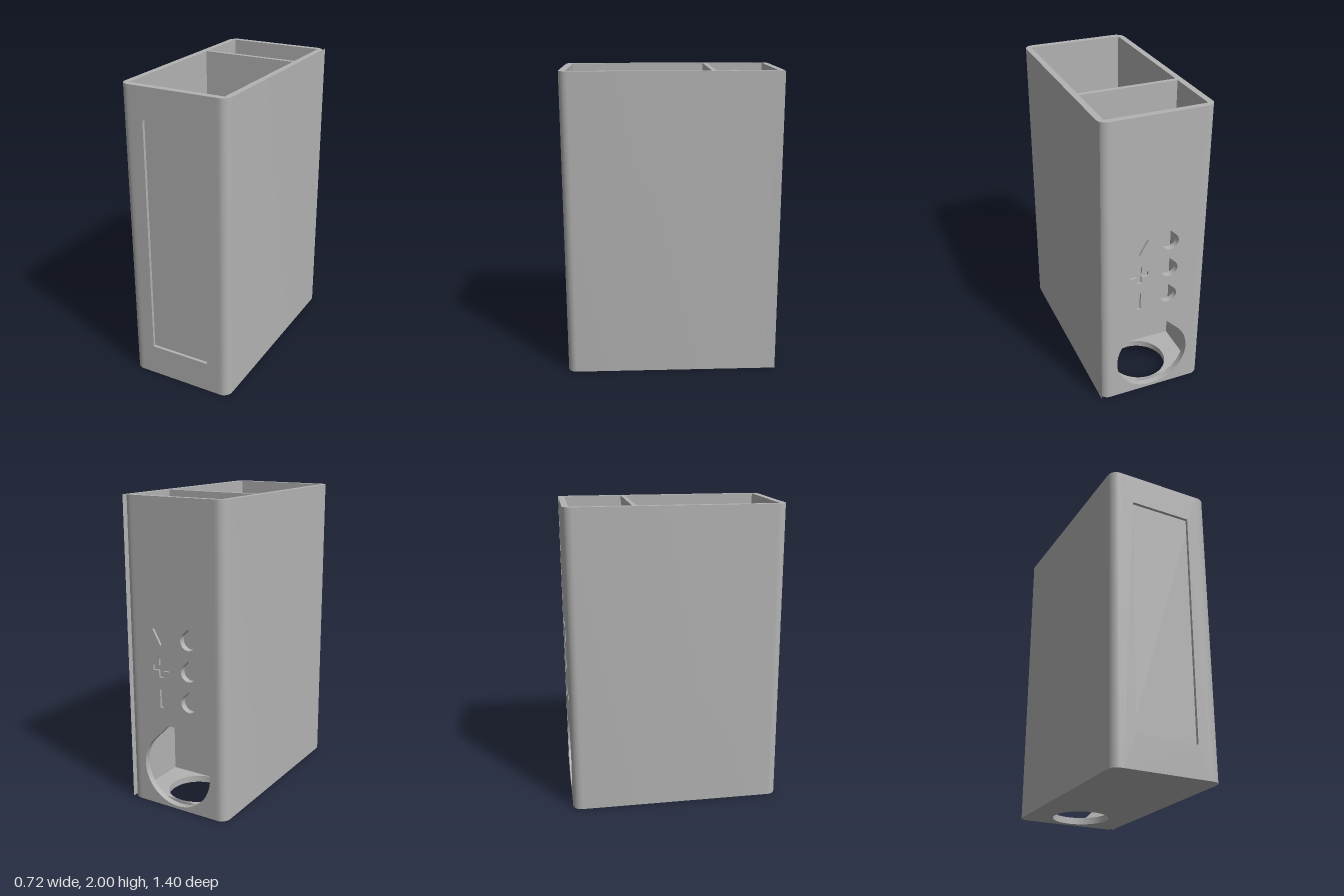
import * as THREE from 'three';
import { toCreasedNormals } from 'three/addons/utils/BufferGeometryUtils.js';

const H = 2, W = 0.36, D = 0.7;            // height, half width, half depth
const IN_X = 0.32, IN_F = 0.655, IN_B = -0.66; // inner faces of the walls
const SEAM = 0.29, R = 0.06, FLOOR = 0.045;

const rect = (C, x0, y0, x1, y1) => poly(C, [[x0, y0], [x1, y0], [x1, y1], [x0, y1]]);

function poly(C, pts) {
  return new C(pts.map(([x, y]) => new THREE.Vector2(x, y)));
}

// circle with a 45 degree roof, optionally cut flat at the top
function teardrop(x, y, r, cut = 0) {
  const p = new THREE.Path();
  const apex = y + r * Math.SQRT2;
  p.moveTo(x + cut, apex - cut);
  p.lineTo(x - cut, apex - cut);
  p.absarc(x, y, r, Math.PI * 0.75, Math.PI * 2.25, false);
  p.closePath();
  return p;
}

export function createModel() {
  const group = new THREE.Group();
  const grey = new THREE.MeshStandardMaterial({ color: 0xb3b3b3 });
  grey.name = 'grey plastic';
  grey.side = THREE.DoubleSide;

  const add = (name, geo) => {
    const mesh = new THREE.Mesh(geo, grey);
    mesh.name = name;
    group.add(mesh);
    return mesh;
  };
  const extrude = (shape, depth) => toCreasedNormals(
    new THREE.ExtrudeGeometry(shape, { depth, bevelEnabled: false, curveSegments: 32 }), 0.5);
  // upright plate between two z values
  const plate = (name, z0, z1, holes = [], half = SEAM) => {
    const s = rect(THREE.Shape, -half, 0, half, H);
    s.holes.push(...holes);
    add(name, extrude(s, z1 - z0).translate(0, 0, z0));
  };

  // side walls with rounded vertical corners (plan drawn as x, -z)
  for (const [s, name] of [[1, 'leftWall'], [-1, 'rightWall']]) {
    const p = new THREE.Shape();
    p.moveTo(s * SEAM, -D);
    p.lineTo(s * (W - R), -D);
    for (let i = 1; i <= 12; i++) {
      const a = (i / 12) * Math.PI / 2;
      p.lineTo(s * (W - R + R * Math.sin(a)), -D + R - R * Math.cos(a));
    }
    for (let i = 0; i <= 12; i++) {
      const a = (i / 12) * Math.PI / 2;
      p.lineTo(s * (W - R + R * Math.cos(a)), D - R + R * Math.sin(a));
    }
    p.lineTo(s * SEAM, D);
    p.lineTo(s * SEAM, -IN_B);
    p.lineTo(s * IN_X, -IN_B);
    p.lineTo(s * IN_X, -IN_F);
    p.lineTo(s * SEAM, -IN_F);
    add(name, extrude(p, H).rotateX(-Math.PI / 2));
  }

  // front wall with a shallow rectangular recess
  plate('frontWall', IN_F, D - 0.02);
  plate('frontRecessFrame', D - 0.02, D, [rect(THREE.Path, -0.207, 0.21, 0.207, 1.795)]);

  // back wall: through holes in both layers, engraved symbols in the outer one
  const rows = [0.74, 0.94, 1.14];
  const openings = () => [
    teardrop(0, 0.27, 0.25, 0.06),
    ...rows.map((y) => teardrop(-0.1, y, 0.056)),
  ];
  const ix = 0.105, a = 0.06, b = 0.016;
  const plus = [[-b, -a], [b, -a], [b, -b], [a, -b], [a, b], [b, b],
    [b, a], [-b, a], [-b, b], [-a, b], [-a, -b], [-b, -b]];
  const symbols = [
    rect(THREE.Path, ix - 0.013, rows[0] - 0.06, ix + 0.013, rows[0] + 0.06),
    poly(THREE.Path, plus.map(([x, y]) => [ix + x, rows[1] + y])),
    poly(THREE.Path, [[ix - 0.06, rows[2] + 0.05], [ix, rows[2] - 0.055], [ix + 0.06, rows[2] + 0.05]]),
  ];
  plate('backWall', -D + 0.015, IN_B, openings());
  plate('backWallEngraved', -D, -D + 0.015, [...openings(), ...symbols]);

  // divider between the two compartments
  plate('divider', -0.275, -0.245, [], IN_X);

  // floor with a round opening in the rear compartment
  const floor = rect(THREE.Shape, -IN_X, -IN_F, IN_X, -IN_B);
  const hole = new THREE.Path();
  hole.absarc(0, 0.468, 0.19, 0, Math.PI * 2, true);
  floor.holes.push(hole);
  add('floor', extrude(floor, FLOOR).rotateX(-Math.PI / 2));

  // thin flange continuing the left side past the rear corner
  add('sideFlange', new THREE.PlaneGeometry(R, H).rotateY(Math.PI / 2)
    .translate(W, H / 2, -D + R / 2));

  return group;
}
